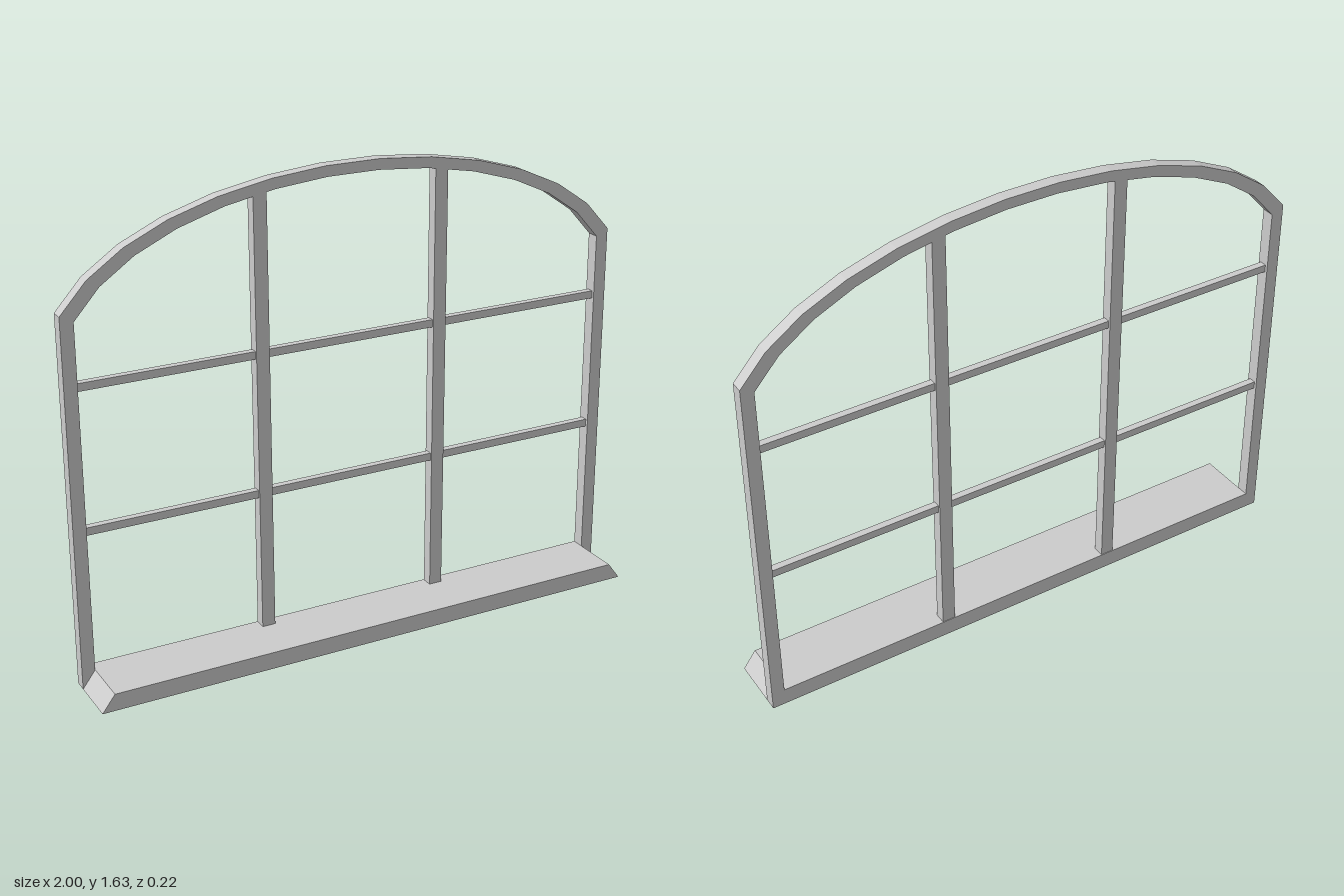
import * as THREE from 'three';

const BACK = -0.11, FRONT = -0.065, MID = (BACK + FRONT) / 2;

export function createModel() {
  const model = new THREE.Group();
  model.name = 'archedWindow';
  const material = new THREE.MeshStandardMaterial({ color: 0xcccccc, flatShading: true });

  const add = (name, geometry, x = 0, y = 0, z = 0) => {
    const mesh = new THREE.Mesh(geometry, material);
    mesh.name = name;
    mesh.position.set(x, y, z);
    model.add(mesh);
  };

  // Straight jambs closed by a faceted arch of 13 segments
  const outline = (halfWidth, bottom, spring, pull, rise) => {
    const v = (x, y) => new THREE.Vector2(x, y);
    const arch = new THREE.CubicBezierCurve(
      v(halfWidth, spring), v(pull, spring + rise), v(-pull, spring + rise), v(-halfWidth, spring));
    return [v(-halfWidth, bottom), v(halfWidth, bottom), ...arch.getPoints(13)];
  };

  // Outer frame with its opening
  const frame = new THREE.Shape(outline(1, 0, 1.275, 0.68, 0.475));
  frame.holes.push(new THREE.Path(outline(0.955, 0.06, 1.252, 0.65, 0.457)));
  add('frame', new THREE.ExtrudeGeometry(frame, { depth: FRONT - BACK, bevelEnabled: false }), 0, 0, BACK);

  // Projecting sill with sloped ends
  const sill = new THREE.Shape([[-1, 0], [1, 0], [0.955, 0.06], [-0.955, 0.06]]
    .map(([x, y]) => new THREE.Vector2(x, y)));
  add('sill', new THREE.ExtrudeGeometry(sill, { depth: 0.11 - FRONT, bevelEnabled: false }), 0, 0, FRONT);

  // Upright mullions, tucked into the arch
  for (const [side, name] of [[1, 'leftMullion'], [-1, 'rightMullion']]) {
    add(name, new THREE.BoxGeometry(0.047, 1.54, 0.04), side * 0.328, 0.05 + 1.54 / 2, MID);
  }

  // Thin horizontal glazing bars
  for (const [y, name] of [[0.55, 'lowerBar'], [1.037, 'upperBar']]) {
    add(name, new THREE.BoxGeometry(1.92, 0.027, 0.025), 0, y, MID);
  }

  return model;
}
